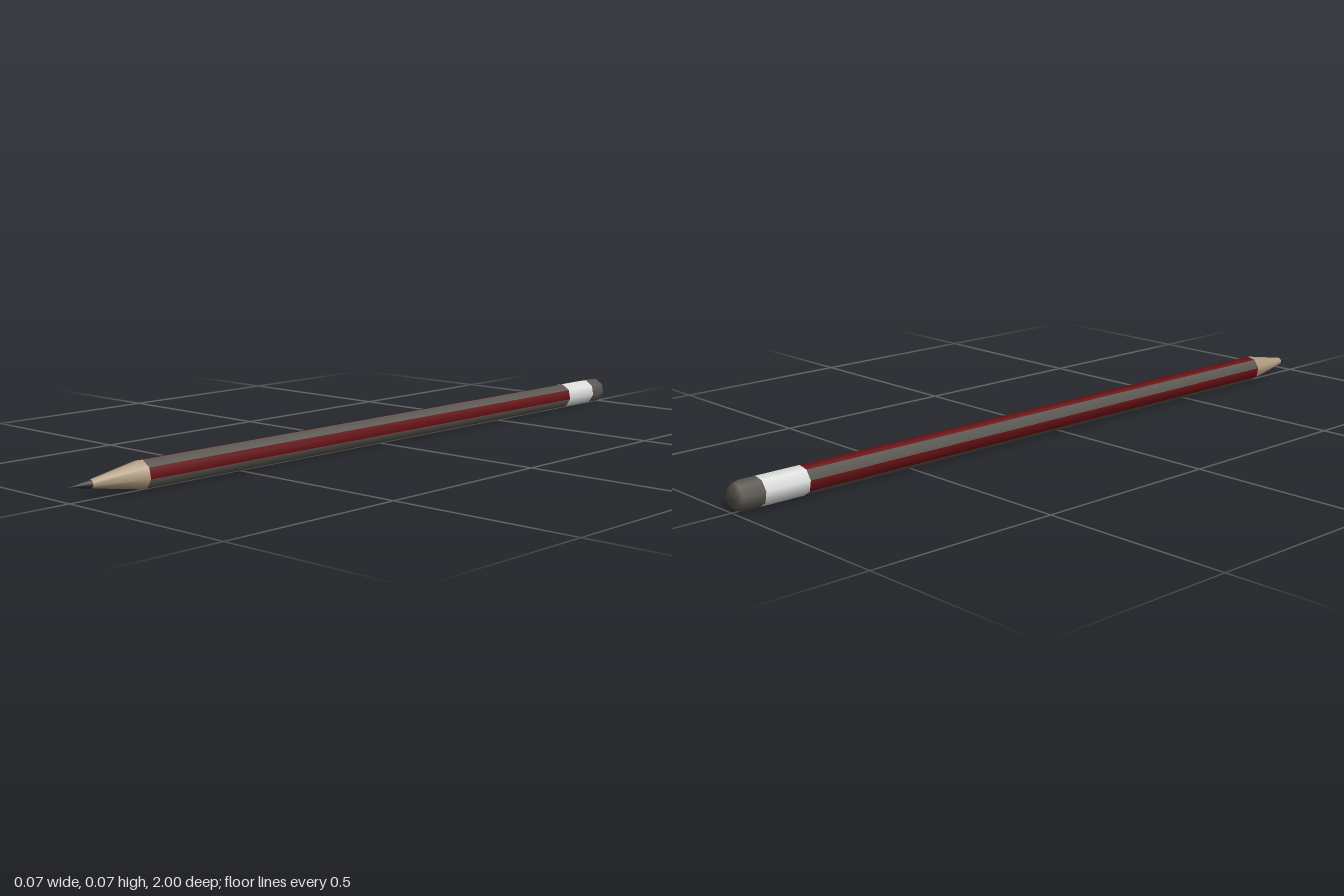
import * as THREE from 'three';

const R = 0.036;                                   // barrel radius
const SIDES = 8;
const START = THREE.MathUtils.degToRad(169);       // turn of the octagon
const STEP = (Math.PI * 2) / SIDES;

const paint = (name, color) => {
  const m = new THREE.MeshStandardMaterial({ color });
  m.name = name;
  return m;
};

export function createModel() {
  const red = paint('dark red', 0x650c0f);
  const grey = paint('warm grey', 0x5a5650);
  const silver = paint('pale silver', 0xdcdedc);
  const wood = paint('wood', 0xb09a7e);
  const graphite = paint('graphite', 0x2c2c31);

  const pencil = new THREE.Group();
  pencil.name = 'pencil';

  const add = (name, geometry, material, parent = pencil) => {
    geometry.rotateX(Math.PI / 2);                 // lay the axis along z
    const mesh = new THREE.Mesh(geometry, material);
    mesh.name = name;
    parent.add(mesh);
  };
  // eight-sided turned part from [radius, z] pairs, back to front
  const turned = (name, profile, material) =>
    add(name, new THREE.LatheGeometry(
      profile.map(([r, z]) => new THREE.Vector2(r, z)), SIDES, START), material);

  // barrel: eight long faces in alternating colours
  const barrel = new THREE.Group();
  barrel.name = 'barrel';
  pencil.add(barrel);
  const back = -0.81, front = 0.8;
  for (let i = 0; i < SIDES; i++) {
    const face = new THREE.CylinderGeometry(R, R, front - back, 1, 1, true, START + i * STEP, STEP);
    face.translate(0, (front + back) / 2, 0);
    add(i % 2 ? 'greyStripe' : 'redStripe', face, i % 2 ? grey : red, barrel);
  }

  // sharpened end
  turned('sharpenedWood', [[R, front], [0.0105, 0.942]], wood);
  turned('lead', [[0.0105, 0.942], [0, 1]], graphite);

  // eraser end
  turned('ferrule', [[R, -0.93], [R, back]], silver);
  turned('eraser', [[0, -1], [0.024, -0.998], [0.033, -0.988], [R, -0.974], [R, -0.93]], grey);

  pencil.position.y = 0.0354;
  const model = new THREE.Group();
  model.add(pencil);
  return model;
}
